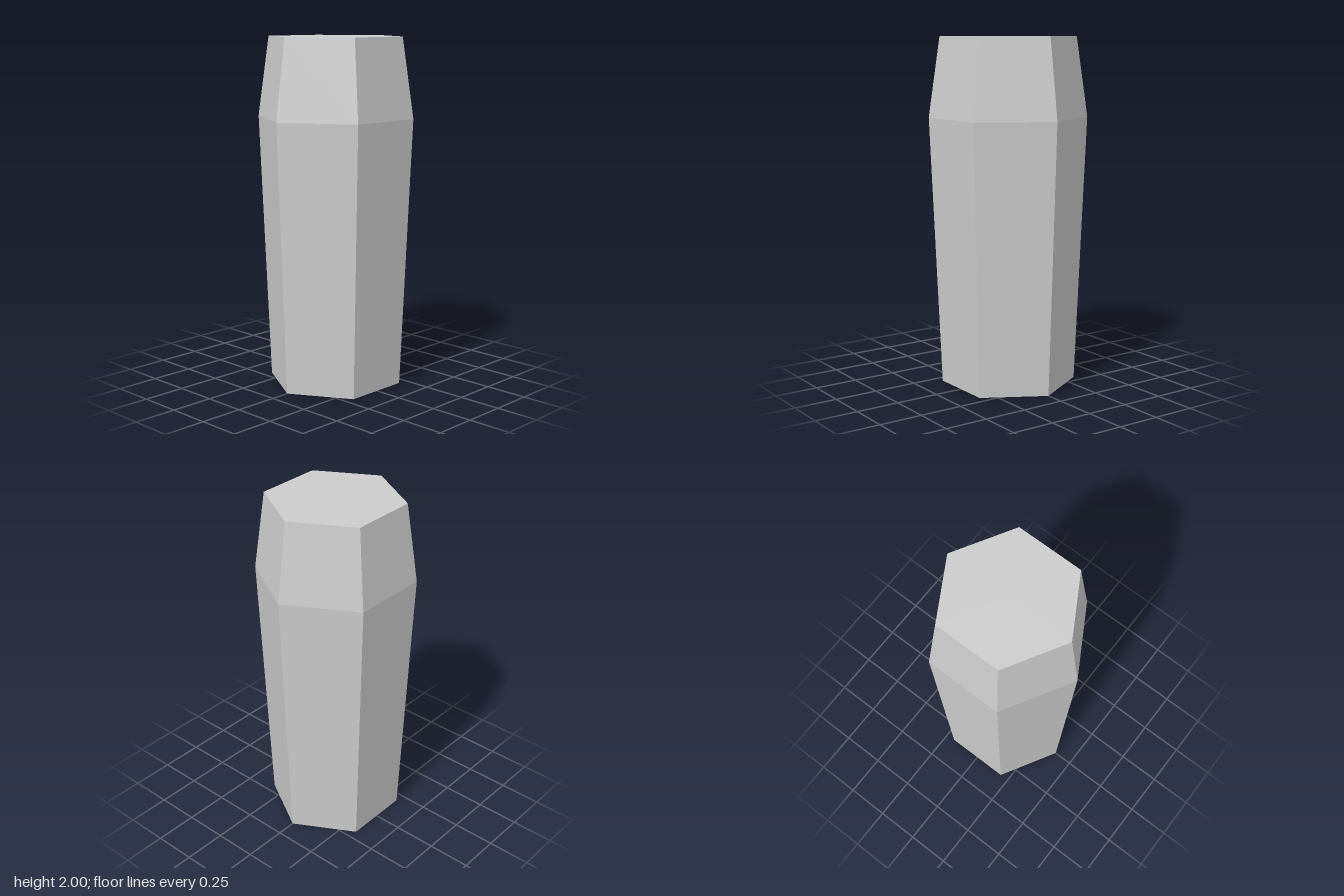
import * as THREE from 'three';

const SIDES = 6;
const END_RADIUS = 0.388;
const SHOULDER_RADIUS = 0.453;
const SHOULDER_Y = 1.545;
const HEIGHT = 2;

export function createModel() {
  const group = new THREE.Group();
  group.name = 'hexagonalPrism';
  const material = new THREE.MeshStandardMaterial({ color: 0xcccccc, flatShading: true });

  const add = (name, geometry, y = 0) => {
    const mesh = new THREE.Mesh(geometry, material);
    mesh.name = name;
    mesh.position.y = y;
    group.add(mesh);
  };

  // Six-sided wall: widens to the shoulder, then narrows to the top
  const profile = [[END_RADIUS, 0], [SHOULDER_RADIUS, SHOULDER_Y], [END_RADIUS, HEIGHT]]
    .map(([r, y]) => new THREE.Vector2(r, y));
  add('wall', new THREE.LatheGeometry(profile, SIDES));

  // Flat end caps, corners lined up with the wall
  const cap = (tilt) => new THREE.CircleGeometry(END_RADIUS, SIDES, Math.PI / 2).rotateX(tilt);
  add('topCap', cap(-Math.PI / 2), HEIGHT);
  add('bottomCap', cap(Math.PI / 2));

  return group;
}
